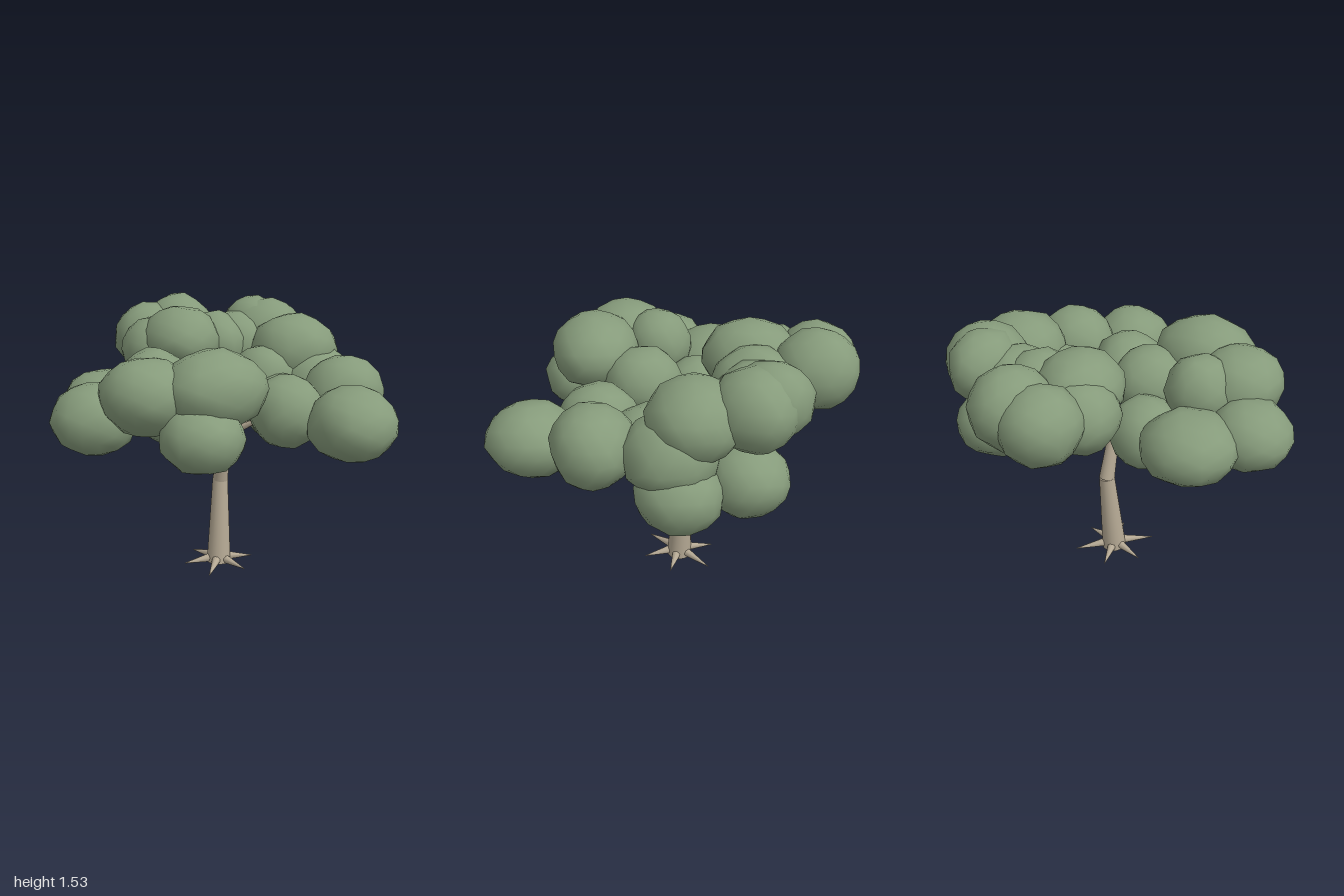
import * as THREE from 'three';
import { mergeVertices } from 'three/addons/utils/BufferGeometryUtils.js';

const V = (x, y, z) => new THREE.Vector3(x, y, z);

// Seeded random numbers in 0..1
function seeded(seed) {
  let s = seed;
  return () => (s = (s * 16807) % 2147483647) / 2147483647;
}

// Tapered round limb between two points
function limb(name, a, b, ra, rb, material, sides = 12) {
  const dir = b.clone().sub(a);
  const mesh = new THREE.Mesh(new THREE.CylinderGeometry(rb, ra, dir.length(), sides), material);
  mesh.position.copy(a).add(b).multiplyScalar(0.5);
  mesh.quaternion.setFromUnitVectors(V(0, 1, 0), dir.normalize());
  mesh.name = name;
  return mesh;
}

// Slightly lumpy smooth ball
function puffGeometry(rand) {
  let g = new THREE.IcosahedronGeometry(1, 2);
  g.deleteAttribute('normal');
  g.deleteAttribute('uv');
  g = mergeVertices(g, 1e-3);
  const p = g.attributes.position;
  for (let i = 0; i < p.count; i++) {
    const k = 0.965 + rand() * 0.08;
    p.setXYZ(i, p.getX(i) * k, p.getY(i) * k, p.getZ(i) * k);
  }
  g.computeVertexNormals();
  return g;
}

// Foliage clusters: centre x, y, z and radii x, y, z of each puff
const clusters = {
  leftwardFoliage: [
    [-0.75, 1.03, 0.03, 0.23, 0.19, 0.24],
    [-0.53, 1.03, -0.24, 0.26, 0.19, 0.26],
    [-0.57, 1.18, 0.27, 0.24, 0.2, 0.25],
    [-0.27, 1.21, 0.44, 0.29, 0.21, 0.25],
    [-0.39, 0.99, 0.53, 0.22, 0.18, 0.22],
    [-0.06, 1.1, 0.17, 0.21, 0.2, 0.22],
    [-0.42, 1.18, 0.08, 0.19, 0.2, 0.19],
    [-0.21, 0.97, -0.14, 0.2, 0.2, 0.21],
  ],
  rearFoliage: [
    [0.02, 1.27, -0.78, 0.22, 0.21, 0.22],
    [0.21, 1.3, -0.75, 0.22, 0.22, 0.23],
    [-0.05, 1.23, -0.54, 0.22, 0.2, 0.22],
    [0.03, 1.3, -0.41, 0.23, 0.2, 0.26],
    [0.27, 1.25, -0.42, 0.18, 0.2, 0.23],
    [0.42, 1.24, -0.42, 0.2, 0.2, 0.22],
  ],
  sideFoliage: [
    [0.59, 1.31, -0.47, 0.19, 0.2, 0.22],
    [0.63, 1.28, -0.39, 0.24, 0.22, 0.23],
    [0.63, 1.23, -0.09, 0.26, 0.22, 0.25],
    [0.4, 1.1, -0.06, 0.2, 0.19, 0.2],
    [0.75, 0.87, -0.01, 0.23, 0.2, 0.23],
    [0.64, 0.89, -0.36, 0.22, 0.2, 0.22],
    [0.68, 1.06, 0.03, 0.24, 0.22, 0.25],
  ],
  frontFoliage: [
    [0.6, 1.07, 0.42, 0.24, 0.22, 0.22],
    [0.4, 1.0, 0.75, 0.24, 0.2, 0.25],
    [0.22, 1.02, 0.41, 0.21, 0.2, 0.22],
    [0.37, 0.96, 0.15, 0.21, 0.2, 0.21],
  ],
};

// Branch paths beyond the trunk top: elbow, then tip
const branches = [
  [V(-0.12, 0.93, 0.06), V(-0.38, 1.05, 0.2)],
  [V(-0.06, 0.9, -0.06), V(-0.4, 1.02, -0.18)],
  [V(0.06, 0.95, -0.15), V(-0.02, 1.2, -0.42)],
  [V(0.2, 0.95, -0.1), V(0.5, 1.15, -0.35)],
  [V(0.24, 0.88, 0.04), V(0.6, 1.0, 0.02)],
  [V(0.17, 0.9, 0.15), V(0.36, 1.0, 0.5)],
];

export function createModel() {
  const tree = new THREE.Group();
  tree.name = 'tree';
  const bark = new THREE.MeshStandardMaterial({ color: 0xb5a994 });
  bark.name = 'bark';
  const leaf = new THREE.MeshStandardMaterial({ color: 0x869b7b });
  leaf.name = 'leaf green';

  // Bent trunk in two sections
  const top = V(0.08, 0.83, 0.02);
  tree.add(limb('lowerTrunk', V(0.062, 0.005, -0.03), V(0.09, 0.515, -0.06), 0.072, 0.046, bark, 16));
  tree.add(limb('upperTrunk', V(0.09, 0.51, -0.06), top, 0.046, 0.03, bark, 16));

  // Spiky roots around the foot, two of them longer
  const roots = new THREE.Group();
  roots.name = 'roots';
  for (let i = 0; i < 6; i++) {
    const a = THREE.MathUtils.degToRad(i * 60 + 15), c = Math.cos(a), s = Math.sin(a);
    const reach = i % 3 === 2 ? 0.24 : 0.21;
    roots.add(limb('root', V(0.06 + c * 0.04, 0.035, -0.03 + s * 0.04),
      V(0.06 + c * reach, 0.015, -0.03 + s * reach), 0.028, 0.002, bark, 10));
  }
  tree.add(roots);

  // Forking branches
  const crown = new THREE.Group();
  crown.name = 'branches';
  for (const [elbow, tip] of branches) {
    crown.add(limb('innerBranch', top.clone().setY(0.81), elbow, 0.024, 0.016, bark, 8));
    crown.add(limb('outerBranch', elbow, tip, 0.016, 0.008, bark, 8));
  }
  tree.add(crown);

  // Foliage puffs
  const rand = seeded(4217);
  for (const [name, puffs] of Object.entries(clusters)) {
    const cluster = new THREE.Group();
    cluster.name = name;
    for (const [x, y, z, rx, ry, rz] of puffs) {
      const puff = new THREE.Mesh(puffGeometry(rand).scale(rx, ry, rz), leaf);
      puff.name = 'leafPuff';
      puff.position.set(x, y, z);
      cluster.add(puff);
    }
    tree.add(cluster);
  }
  return tree;
}
